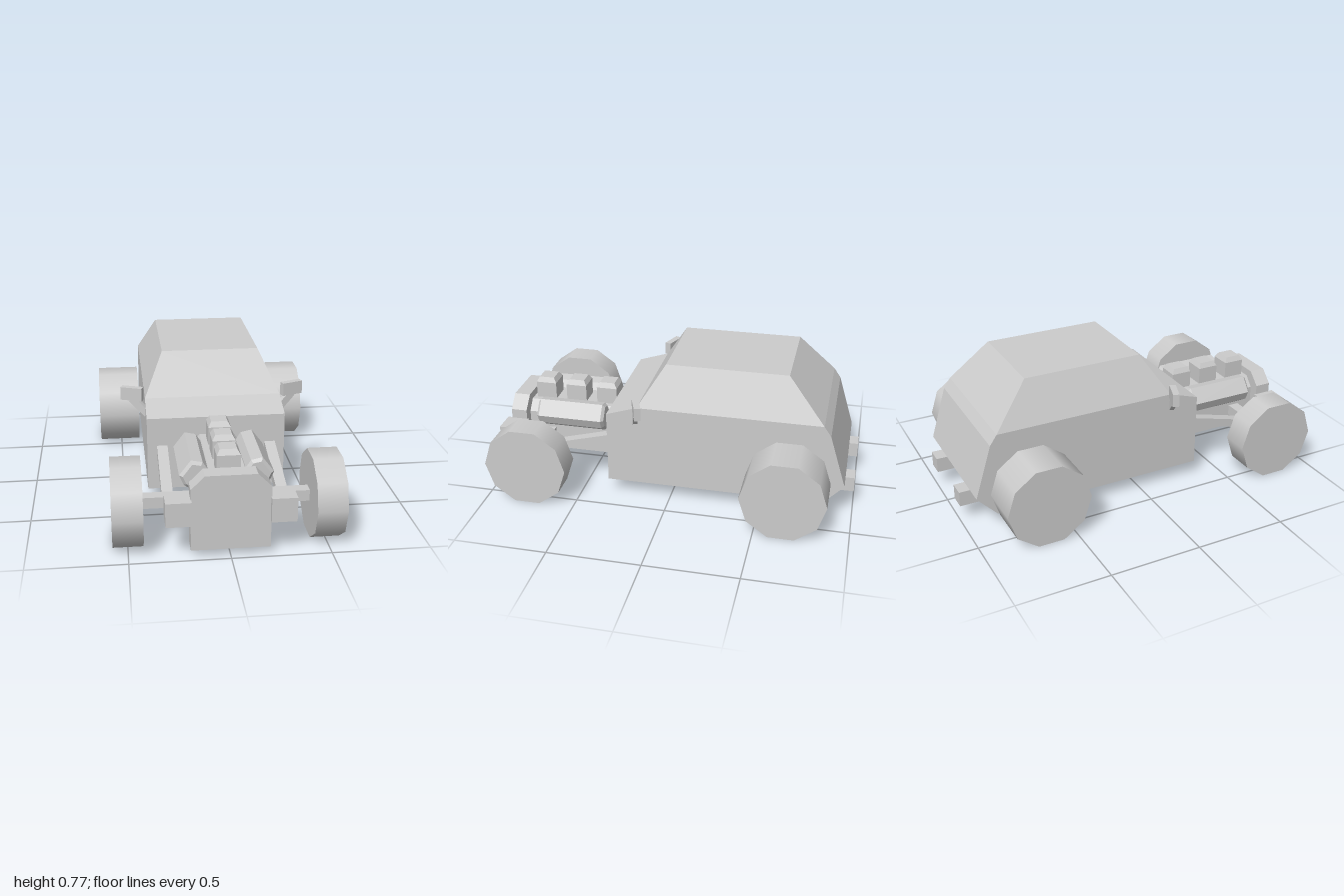
import * as THREE from 'three';
import { ConvexGeometry } from 'three/addons/geometries/ConvexGeometry.js';

const flat = new THREE.MeshStandardMaterial({ color: 0xcccccc, flatShading: true });
const smooth = new THREE.MeshStandardMaterial({ color: 0xcccccc });

export function createModel() {
  const model = new THREE.Group();
  model.name = 'hotRod';

  const add = (name, geometry, material = flat) => {
    const mesh = new THREE.Mesh(geometry, material);
    mesh.name = name;
    model.add(mesh);
    return mesh;
  };
  // Box given by its min and max on each axis
  const box = (name, x0, x1, y0, y1, z0, z1) => {
    const mesh = add(name, new THREE.BoxGeometry(x1 - x0, y1 - y0, z1 - z0));
    mesh.position.set((x0 + x1) / 2, (y0 + y1) / 2, (z0 + z1) / 2);
    return mesh;
  };
  // Bar of width w and height h between two points
  const beam = (name, from, to, w, h) => {
    const a = new THREE.Vector3(...from), b = new THREE.Vector3(...to);
    const mesh = add(name, new THREE.BoxGeometry(w, h, a.distanceTo(b)));
    mesh.position.copy(a).add(b).multiplyScalar(0.5);
    mesh.lookAt(b);
    return mesh;
  };
  // Profile in x, y drawn out from z0 to z1, with optional bevelled ends
  const prism = (points, z0, z1, bevel = 0) => {
    const shape = new THREE.Shape(points.map(p => new THREE.Vector2(...p)));
    const g = new THREE.ExtrudeGeometry(shape, {
      depth: z1 - z0 - 2 * bevel, bevelEnabled: bevel > 0, bevelSegments: 1,
      bevelThickness: bevel, bevelSize: bevel, bevelOffset: -bevel,
    });
    return g.translate(0, 0, z0 + bevel);
  };

  // Body: side profile (z, y) drawn out across the width
  const profile = [
    [0.35, 0.083], [0.35, 0.49], [0.18, 0.545], [-0.822, 0.545],
    [-0.86, 0.49], [-0.95, 0.2], [-0.84, 0.083],
  ];
  add('body', prism(profile, -0.372, 0.372).rotateY(-Math.PI / 2));

  // Cabin tapering to the roof
  const cabin = [];
  for (const s of [-1, 1]) {
    for (const [x, y, z] of [[0.372, 0.545, 0.18], [0.372, 0.545, -0.822],
      [0.267, 0.768, 0.038], [0.267, 0.768, -0.62]]) {
      cabin.push(new THREE.Vector3(s * x, y, z));
    }
  }
  add('cabin', new ConvexGeometry(cabin));

  // Engine block and radiator with cut upper corners
  const cutBox = (w, y0, yCut, wTop, y1) =>
    [[-w, y0], [w, y0], [w, yCut], [wTop, y1], [-wTop, y1], [-w, yCut]];
  add('engineBlock', prism(cutBox(0.14, 0.113, 0.335, 0.09, 0.392), 0.33, 0.9));
  add('radiator', prism(cutBox(0.197, 0.04, 0.365, 0.128, 0.434), 0.883, 0.973));

  // Three air intakes with bevelled tops
  for (const z of [0.44, 0.622, 0.804]) {
    const pts = [];
    for (const [h, y] of [[0.059, 0.38], [0.059, 0.487], [0.043, 0.515]]) {
      for (const sx of [-1, 1]) for (const sz of [-1, 1]) {
        pts.push(new THREE.Vector3(sx * h, y, z + sz * h));
      }
    }
    add('airIntake', new ConvexGeometry(pts));
  }

  // Axles
  box('frontAxle', -0.45, 0.45, 0.187, 0.246, 0.73, 0.793);
  box('rearAxle', -0.42, 0.42, 0.187, 0.246, -0.68, -0.62);

  for (const s of [1, -1]) {
    const side = s > 0 ? 'left' : 'right';
    const span = (a, b) => (s > 0 ? [a, b] : [-b, -a]);

    // Ten-sided wheels, rear ones wider
    for (const [name, x0, x1, z] of [['FrontWheel', 0.423, 0.575, 0.762], ['RearWheel', 0.388, 0.628, -0.65]]) {
      const wheel = add(side + name, new THREE.CylinderGeometry(0.228, 0.228, x1 - x0, 10), smooth);
      wheel.rotation.z = Math.PI / 2;
      wheel.position.set(s * (x0 + x1) / 2, 0.217, z);
    }

    // Cylinder bank cover leaning outwards
    const cover = [[0.07, 0.35], [0.12, 0.428], [0.178, 0.44], [0.237, 0.362], [0.215, 0.31], [0.14, 0.262]]
      .map(([x, y]) => [s * x, y]);
    add(side + 'ValveCover', prism(cover, 0.417, 0.81, 0.015));

    // Suspension arm, headlight and exhaust
    beam(side + 'SuspensionArm', [s * 0.292, 0.315, 0.33], [s * 0.292, 0.2, 0.76], 0.057, 0.048);
    box(side + 'Headlight', ...span(0.193, 0.32), 0.185, 0.311, 0.873, 1);
    box(side + 'Exhaust', ...span(0.148, 0.238), 0.097, 0.18, -1, -0.82);

    // Wing mirror on its arm
    beam(side + 'MirrorArm', [s * 0.36, 0.462, 0.192], [s * 0.442, 0.545, 0.165], 0.025, 0.04);
    const mirror = box(side + 'Mirror', ...span(0.381, 0.501), 0.535, 0.607, 0.143, 0.178);
    mirror.rotation.y = s * 0.36;
  }

  return model;
}
